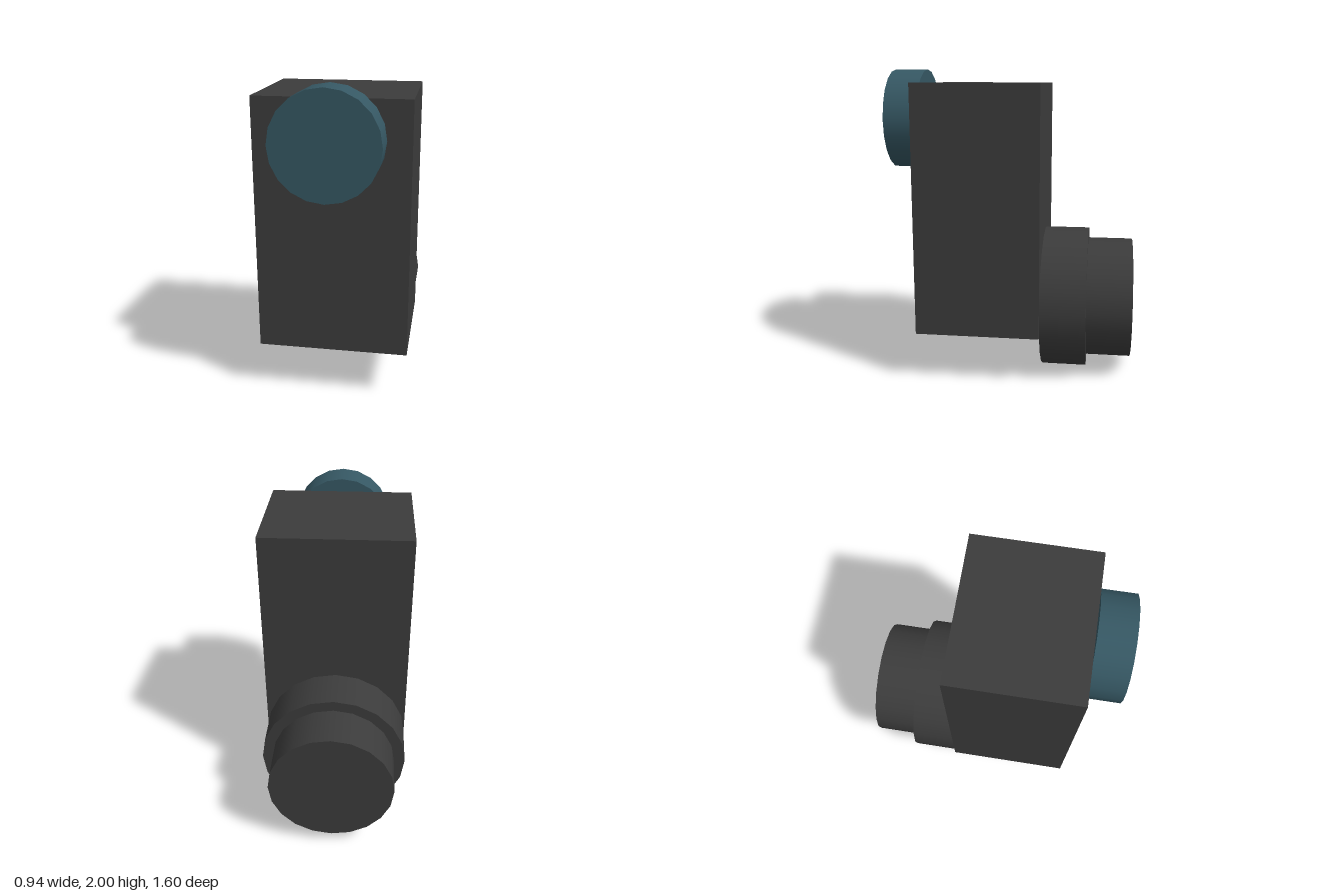
import * as THREE from 'three';

export function createModel() {
  const model = new THREE.Group();
  const dark = new THREE.MeshStandardMaterial({ color: 0x3c3c3c });
  const teal = new THREE.MeshStandardMaterial({ color: 0x365864 });

  const add = (name, geometry, material, y, z) => {
    const mesh = new THREE.Mesh(geometry, material);
    mesh.name = name;
    mesh.position.set(0, y, z);
    model.add(mesh);
  };

  // 20-sided disc lying along z, from z0 to z1
  const disc = (name, radius, y, z0, z1, material) => {
    const geometry = new THREE.CylinderGeometry(radius, radius, z1 - z0, 20).rotateX(Math.PI / 2);
    add(name, geometry, material, y, (z0 + z1) / 2);
  };

  // Upright housing
  add('body', new THREE.BoxGeometry(0.944, 1.597, 0.799), dark, 1.116, 0.184);

  // Round button high on the front
  disc('frontButton', 0.325, 1.675, 0.583, 0.8, teal);

  // Stepped barrel low on the back
  disc('barrelBase', 0.472, 0.472, -0.508, -0.215, dark);
  disc('barrelEnd', 0.4, 0.475, -0.8, -0.508, dark);

  return model;
}
